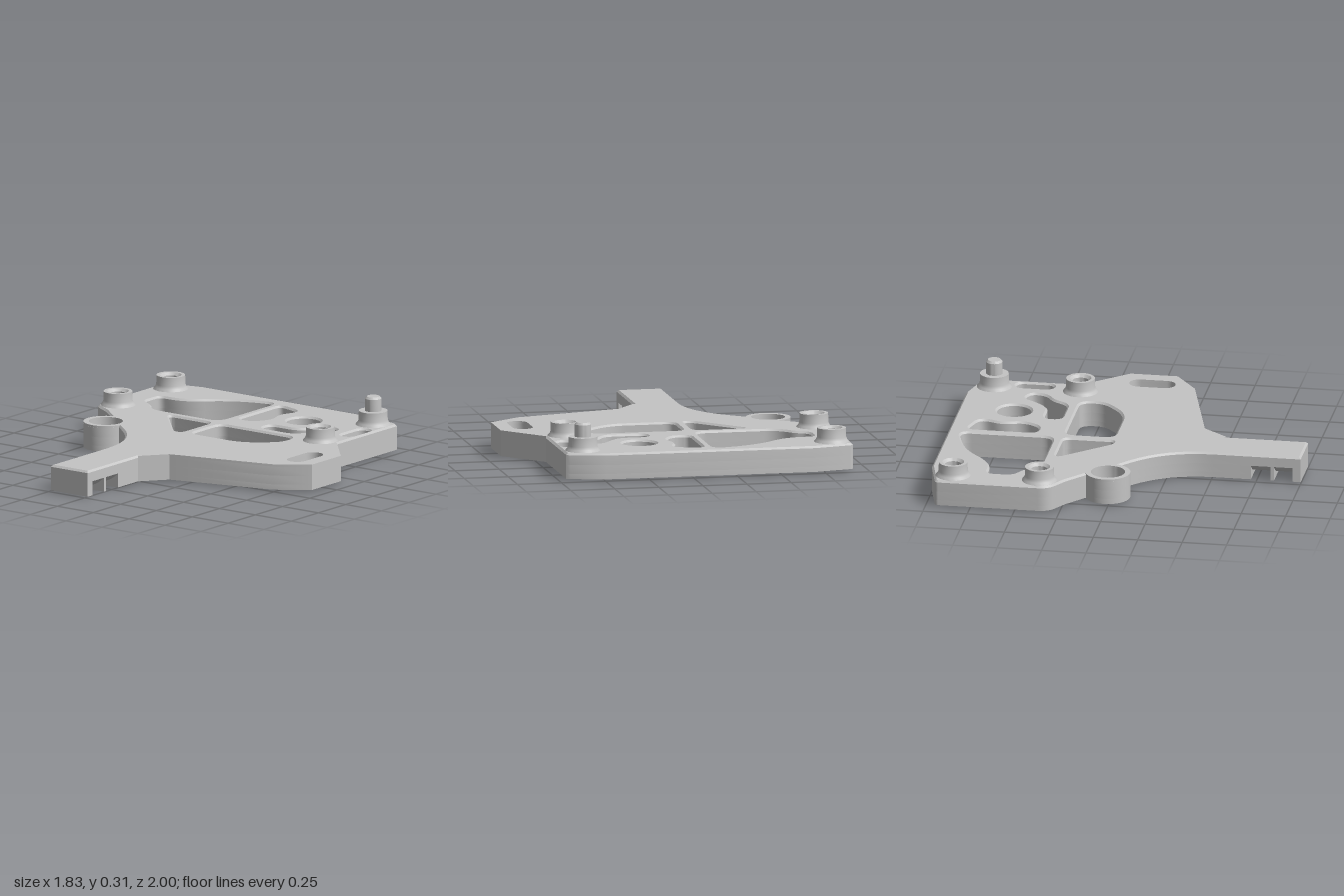
import * as THREE from 'three';
import { toCreasedNormals } from 'three/addons/utils/BufferGeometryUtils.js';

const metal = new THREE.MeshStandardMaterial({ color: 0xc4c4c4 });
metal.name = 'light grey metal';

// Polygon in plan (x, z, optional corner trim) with rounded corners
function rounded(pts) {
  const out = [];
  pts.forEach(([x, z, r], i) => {
    const p = new THREE.Vector2(x, -z);
    if (!r) return out.push(p);
    const toward = ([qx, qz]) => new THREE.Vector2(qx, -qz).sub(p).setLength(r).add(p);
    const a = toward(pts[(i + pts.length - 1) % pts.length]);
    const b = toward(pts[(i + 1) % pts.length]);
    out.push(...new THREE.QuadraticBezierCurve(a, p, b).getPoints(8));
  });
  // Counter-clockwise, so that the walls face outwards
  return THREE.ShapeUtils.isClockWise(out) ? out.reverse() : out;
}

// Arc in plan as [x, z] pairs
function arc(cx, cz, r, from, to, n) {
  return Array.from({ length: n + 1 }, (_, i) => {
    const t = from + (to - from) * i / n;
    return [cx + r * Math.cos(t), cz + r * Math.sin(t)];
  });
}
const circle = (x, z, r) => rounded(arc(x, z, r, 0, Math.PI * 2, 40).slice(0, -1));
const slot = (x, z, r, half) => rounded([
  ...arc(x, z + half, r, 0, Math.PI, 12),
  ...arc(x, z - half, r, Math.PI, Math.PI * 2, 12),
]);

// Wing edge on the left side, shared by the plate and its square-edged top
const wingEdge = [[0.71, -0.38], [0.917, -0.145], [0.917, 0.12], [0.74, 0.245], [0.135, 0.4], [0.022, 0.54]];
const wingSlot = slot(0.778, 0, 0.057, 0.073);

// Plate outline, with the arm ending at a given z
const outline = (end) => rounded([
  [-0.69, -1], [0.495, -1], [0.69, -0.95], [0.71, -0.935], ...wingEdge,
  [0.022, end], [-0.235, end], [-0.235, 0.25, 0.26],
  ...arc(-0.625, -0.02, 0.125, 0.31, 4.35, 30),
  [-0.79, -0.235], [-0.917, -0.31, 0.06], [-0.917, -0.945, 0.02],
]);

// Lightening pockets and slots that pass through the whole plate
const windows = [
  rounded([[-0.13, -0.935, 0.07], [-0.13, -0.405, 0.07], [-0.6, -0.405, 0.08], [-0.67, -0.5, 0.03],
    [-0.75, -0.54, 0.04], [-0.75, -0.68, 0.04], [-0.58, -0.68, 0.11], [-0.38, -0.875, 0.16]]),
  rounded([[-0.08, -0.905, 0.05], [0.095, -0.855, 0.07], [0.037, -0.72, 0.06], [0.08, -0.61, 0.05],
    [0.02, -0.505, 0.05], [-0.08, -0.515, 0.04]]),
  rounded([[0.15, -0.41, 0.05], [0.15, -0.51, 0.05], [0.33, -0.51, 0.055], [0.405, -0.595, 0.045],
    [0.45, -0.665, 0.035], [0.535, -0.64, 0.05], [0.515, -0.55, 0.04], [0.44, -0.505, 0.04], [0.385, -0.41, 0.05]]),
  rounded([[-0.44, -0.35, 0.05], [-0.135, -0.35, 0.05], [-0.135, -0.065, 0.026], [-0.187, -0.07, 0.026]]),
  rounded([[-0.08, -0.35, 0.06], [0.437, -0.35, 0.06], [0.455, -0.22, 0.07], [0.287, -0.075, 0.1], [-0.08, -0.075, 0.06]]),
  slot(0.645, -0.638, 0.042, 0.063),
  wingSlot,
];

const standoffs = [
  { x: -0.81, z: -0.86 },
  { x: -0.81, z: -0.375, pad: true },
  { x: 0.6, z: -0.375, pad: true },
  { x: 0.6, z: -0.86, pin: true },
];
const bores = [[-0.625, -0.02], [0.245, -0.69]];

export function createModel() {
  const model = new THREE.Group();
  const add = (name, geo, x = 0, y = 0, z = 0) => {
    const mesh = new THREE.Mesh(toCreasedNormals(geo, 0.55), metal);
    mesh.name = name;
    mesh.position.set(x, y, z);
    model.add(mesh);
  };

  // Slab between two heights, with holes and an optional chamfer on top
  const slab = (name, y0, y1, points, holes, chamfer = 0) => {
    const shape = new THREE.Shape(points);
    shape.holes = holes.map((pts) => new THREE.Path(pts));
    const geo = new THREE.ExtrudeGeometry(shape, {
      depth: y1 - y0 - chamfer, bevelEnabled: chamfer > 0, bevelSegments: 1,
      bevelSize: chamfer, bevelOffset: -chamfer, bevelThickness: chamfer,
    });
    add(name, geo.rotateX(-Math.PI / 2), 0, y0, 0);
  };

  // Plate layers: narrow bores below, counterbores above, chamfered top
  const holesWith = (boreR) => [
    ...windows,
    ...bores.map(([x, z]) => circle(x, z, boreR)),
    ...standoffs.filter((s) => !s.pin).map((s) => circle(s.x, s.z, 0.05)),
  ];
  slab('plateBottom', 0.01, 0.04, outline(0.72), holesWith(0.055));
  slab('plateMiddle', 0.04, 0.09, outline(0.72), holesWith(0.095));
  slab('plateUpper', 0.09, 0.142, outline(1), holesWith(0.095));
  slab('plateTopChamfer', 0.142, 0.155, outline(1), holesWith(0.095), 0.011);

  // Square-edged tops of the wing and of the side ring
  slab('wingTop', 0.142, 0.155, rounded([...wingEdge, [0, 0.5], [0.68, -0.2], [0.68, -0.38]]), [wingSlot]);
  slab('ringTop', 0.142, 0.155, circle(-0.625, -0.02, 0.125), [circle(-0.625, -0.02, 0.095)]);

  // Standoffs with flared feet, some with pads below the plate
  standoffs.forEach(({ x, z, pad, pin }) => {
    const base = pad ? 0 : 0.01, foot = pad ? 0.08 : 0.05;
    const outer = [[foot, pin ? 0.1 : base], [foot, 0.12], [0.1, 0.15], [0.097, 0.157],
      [0.087, 0.167], [0.081, 0.183], [0.08, 0.233]];
    const profile = pin
      ? [...outer, [0.046, 0.233], [0.046, 0.302], [0.036, 0.314], [0, 0.314]]
      : [[0.045, base], ...outer, [0.06, 0.233], [0.045, 0.218], [0.045, base]];
    const pts = profile.map(([r, y]) => new THREE.Vector2(r, y));
    add(pin ? 'pinStandoff' : 'standoff', new THREE.LatheGeometry(pts, 40), x, 0, z);
  });

  // Arm tip: two teeth with a rounded saddle hanging between them
  const tooth = (z0, z1) => add('armTooth',
    new THREE.BoxGeometry(0.257, 0.08, z1 - z0), -0.1065, 0.05, (z0 + z1) / 2);
  tooth(0.955, 1);
  tooth(0.831, 0.85);
  const saddle = new THREE.Shape();
  saddle.moveTo(-0.235, 0.09);
  saddle.quadraticCurveTo(-0.1065, -0.03, 0.022, 0.09);
  add('armSaddle', new THREE.ExtrudeGeometry(saddle, { depth: 0.235, bevelEnabled: false, curveSegments: 20 }), 0, 0, 0.72);

  return model;
}
